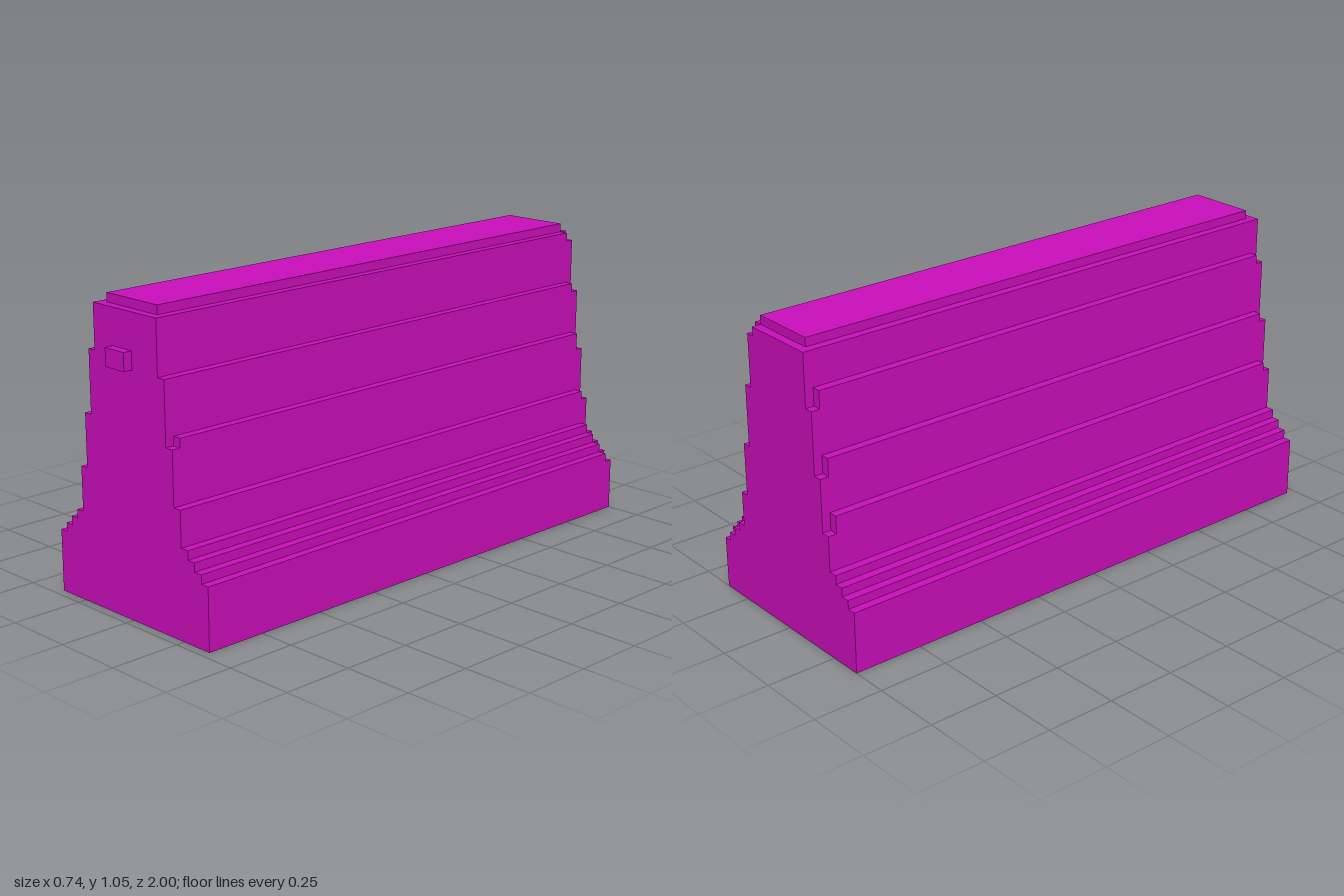
import * as THREE from 'three';

const U = 2 / 65; // one block unit

// Stepped cross-section: each list gives the height at which a side steps in
// by one unit, starting from a half-width of 12 units.
function steppedProfile(leftTops, rightTops) {
  const side = (tops, sign) => {
    const pts = [];
    let y = 0;
    tops.forEach((top, i) => {
      const x = sign * (12 - i) * U;
      pts.push(new THREE.Vector2(x, y * U), new THREE.Vector2(x, top * U));
      y = top;
    });
    return pts;
  };
  return new THREE.Shape([...side(rightTops, 1), ...side(leftTops, -1).reverse()]);
}

export function createModel() {
  const model = new THREE.Group();
  model.name = 'roadBarrier';
  const magenta = new THREE.MeshStandardMaterial({ color: 0xcc0fbc });
  magenta.name = 'magenta';

  // Slices along the length: z range in units, then step heights for -x and +x
  const slices = [
    ['backEnd', -32.5, -31.5,
      [7, 8, 9, 10, 14, 20, 27, 33], [6, 7, 8, 9, 13, 19, 26, 32, 33]],
    ['barrierBody', -31.5, 30.5,
      [7, 8, 9, 10, 16, 22, 29, 33, 34], [7, 8, 9, 10, 14, 21, 27, 33, 34]],
    ['frontEnd', 30.5, 31.5,
      [7, 8, 9, 10, 15, 21, 28, 33], [7, 8, 9, 10, 14, 20, 27, 33]],
  ];
  for (const [name, z0, z1, left, right] of slices) {
    const geometry = new THREE.ExtrudeGeometry(steppedProfile(left, right),
      { depth: (z1 - z0) * U, bevelEnabled: false });
    const mesh = new THREE.Mesh(geometry, magenta);
    mesh.name = name;
    mesh.position.z = z0 * U;
    model.add(mesh);
  }

  // Small block on the front face
  const knob = new THREE.Mesh(new THREE.BoxGeometry(3 * U, 2 * U, U), magenta);
  knob.name = 'frontKnob';
  knob.position.set(-0.5 * U, 28 * U, 32 * U);
  model.add(knob);

  return model;
}
